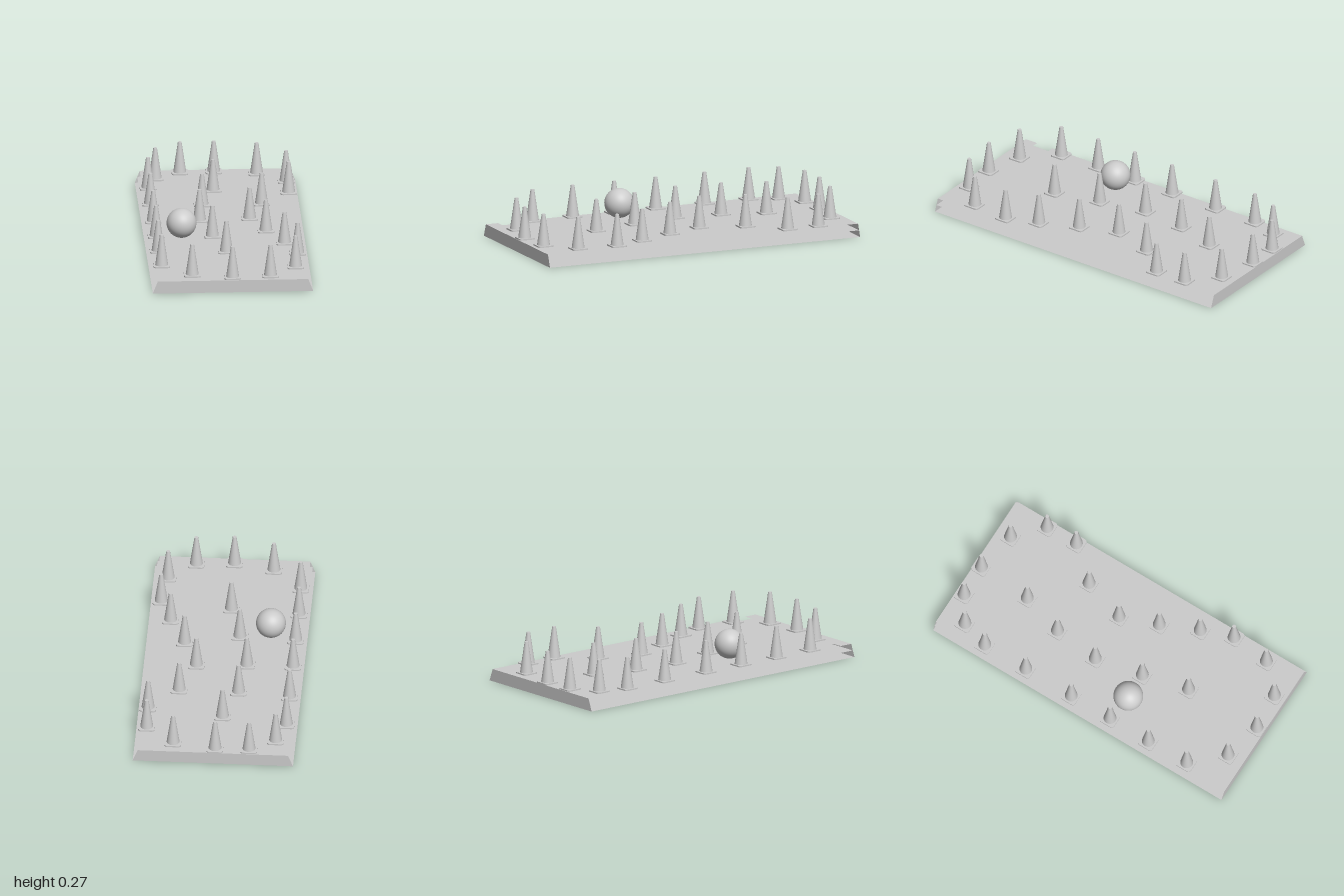
import * as THREE from 'three';

const SHEET_Y = 0.074;

export function createModel() {
  const model = new THREE.Group();
  const smooth = new THREE.MeshStandardMaterial({ color: 0xcccccc });
  const sheet = new THREE.MeshStandardMaterial({ color: 0xcccccc, side: THREE.DoubleSide });

  const add = (name, geometry, material, parent = model) => {
    const mesh = new THREE.Mesh(geometry, material);
    mesh.name = name;
    parent.add(mesh);
    return mesh;
  };
  const outline = (points) => new THREE.Shape(points.map(([x, y]) => new THREE.Vector2(x, y)));

  // Horizontal sheet from an outline in (x, -z)
  const addSheet = (name, points, y) => {
    const geometry = new THREE.ShapeGeometry(outline(points));
    geometry.rotateX(-Math.PI / 2);
    add(name, geometry, sheet).position.y = y;
  };
  const rectangle = (w) => [[-w, -1], [w, -1], [w, 1], [-w, 1]];

  // Platform: stacked sheets with open long sides
  addSheet('platformBottom', rectangle(0.472), 0);
  addSheet('platformMiddle', rectangle(0.457), SHEET_Y / 2);
  addSheet('platformTop', [
    [-0.443, -1], [0.443, -1],
    [0.443, -0.92], [0.38, -0.92], [0.38, -0.81], [0.443, -0.81],
    [0.443, 1], [-0.443, 1],
    [-0.443, -0.81], [-0.38, -0.81], [-0.38, -0.92], [-0.443, -0.92],
  ], SHEET_Y);

  // Sloped-sided end walls
  const end = new THREE.ShapeGeometry(
    outline([[-0.472, 0], [0.472, 0], [0.443, SHEET_Y], [-0.443, SHEET_Y]]));
  add('frontWall', end, sheet).position.z = 1;
  const back = add('backWall', end, sheet);
  back.position.z = -1;
  back.rotation.y = Math.PI;

  // Cone parts: rounded square foot and tapered body
  const h = 0.048, r = 0.016;
  const foot = new THREE.Shape();
  foot.moveTo(-h + r, -h);
  [[1, -1, -Math.PI / 2], [1, 1, 0], [-1, 1, Math.PI / 2], [-1, -1, Math.PI]].forEach(([sx, sy, a]) =>
    foot.absarc(sx * (h - r), sy * (h - r), r, a, a + Math.PI / 2));
  const footGeometry = new THREE.ExtrudeGeometry(foot, { depth: 0.008, bevelEnabled: false, curveSegments: 5 });
  footGeometry.rotateX(-Math.PI / 2);
  const bodyGeometry = new THREE.CylinderGeometry(0.011, 0.038, 0.184, 32);
  bodyGeometry.translate(0, 0.1, 0);

  // Cone positions (x, z): outer ring, then inner weave
  const spots = [
    [-0.21, -0.95], [-0.01, -0.955], [0.24, -0.91], [-0.36, -0.85], [0.405, -0.76],
    [-0.412, -0.68], [0.41, -0.56], [-0.412, -0.395], [-0.412, -0.08], [-0.41, 0.188],
    [-0.412, 0.455], [0.405, 0.537], [-0.405, 0.717], [0.38, 0.777], [-0.235, 0.897],
    [0, 0.95], [0.224, 0.93],
    [-0.032, -0.623], [-0.11, -0.365], [0.24, -0.365], [-0.14, -0.084], [0.156, -0.105],
    [0.24, 0.122], [-0.08, 0.205], [0.337, 0.345], [-0.012, 0.483],
  ];
  for (const [x, z] of spots) {
    const cone = new THREE.Group();
    cone.name = 'cone';
    cone.position.set(x, SHEET_Y + 0.001, z);
    add('coneFoot', footGeometry, smooth, cone);
    add('coneBody', bodyGeometry, smooth, cone);
    model.add(cone);
  }

  // Ball
  add('ball', new THREE.SphereGeometry(0.088, 40, 28), smooth).position.set(-0.262, 0.168, 0.222);

  return model;
}
